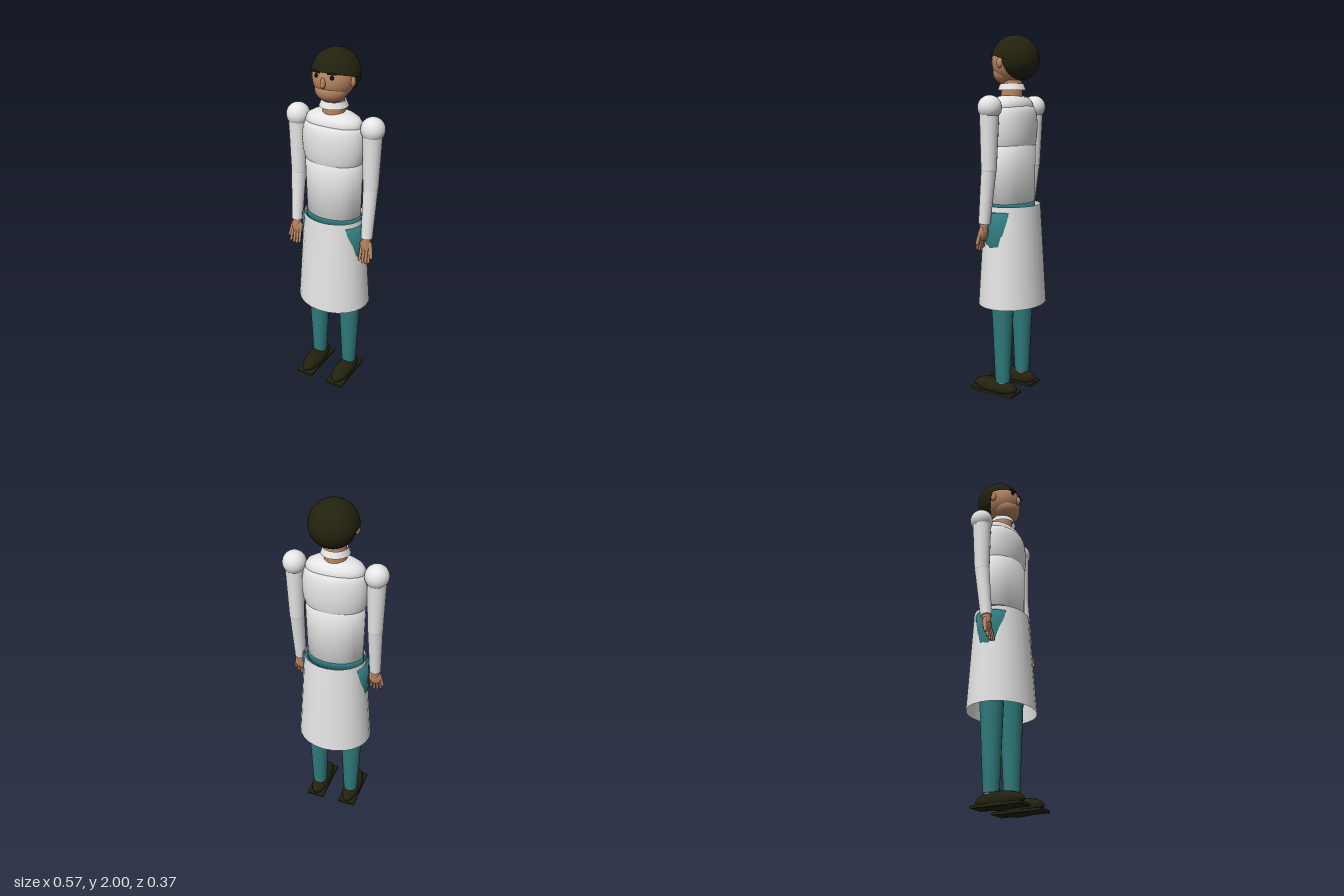
import * as THREE from 'three';

const mat = (name, color, side = THREE.FrontSide) => {
  const m = new THREE.MeshStandardMaterial({ color, side });
  m.name = name;
  return m;
};

export function createModel() {
  const white = mat('white cloth', 0xe6e6e6, THREE.DoubleSide);
  const teal = mat('teal cloth', 0x2f7a7c);
  const dark = mat('dark brown', 0x23220f);
  const skin = mat('skin', 0xb98562);
  const black = mat('eye black', 0x14120f);

  const root = new THREE.Group();
  root.name = 'workerFigure';

  const add = (name, geo, material, pos = [0, 0, 0], parent = root) => {
    const mesh = new THREE.Mesh(geo, material);
    mesh.name = name;
    mesh.position.set(...pos);
    parent.add(mesh);
    return mesh;
  };
  const ball = (name, material, pos, r, parent) =>
    add(name, new THREE.SphereGeometry(1, 32, 20).scale(...r), material, pos, parent);
  // Tapered round limb between two points
  const limb = (name, material, a, b, ra, rb, parent) => {
    const va = new THREE.Vector3(...a), vb = new THREE.Vector3(...b);
    const dir = vb.clone().sub(va);
    const mesh = add(name, new THREE.CylinderGeometry(rb, ra, dir.length(), 20), material,
      va.clone().add(vb).multiplyScalar(0.5).toArray(), parent);
    mesh.quaternion.setFromUnitVectors(new THREE.Vector3(0, 1, 0), dir.normalize());
    return mesh;
  };
  // Oval lathe from [radius, height] pairs
  const oval = (name, material, pts, depth, z = 0) =>
    add(name, new THREE.LatheGeometry(pts.map(p => new THREE.Vector2(...p)), 32).scale(1, 1, depth),
      material, [0, 0, z]);

  // Torso
  oval('abdomen', white, [[0, 1.1], [0.158, 1.1], [0.165, 1.415], [0, 1.415]], 0.71);
  oval('chest', white, [[0.164, 1.412], [0.174, 1.44], [0.179, 1.48], [0.181, 1.52], [0.178, 1.56],
    [0.171, 1.59], [0.16, 1.615], [0.14, 1.625], [0, 1.625]], 0.68);
  oval('shoulderYoke', white, [[0.158, 1.6], [0.162, 1.62], [0.158, 1.637], [0.145, 1.655],
    [0.115, 1.672], [0.08, 1.68], [0, 1.683]], 0.6);
  oval('waistband', teal, [[0, 1.05], [0.161, 1.05], [0.161, 1.102], [0, 1.102]], 0.71);
  oval('hips', teal, [[0, 0.76], [0.17, 0.76], [0.191, 0.88], [0.191, 1.06], [0, 1.06]], 0.69);

  // Open apron skirt
  add('apronSkirt', new THREE.CylinderGeometry(0.174, 0.213, 0.56, 24, 1, true).scale(1, 1, 0.85),
    white, [0, 0.81, -0.005]);

  // Neck and collar
  add('neck', new THREE.CylinderGeometry(0.055, 0.06, 0.12, 24), skin, [0, 1.72, 0]);
  add('collar', new THREE.CylinderGeometry(0.064, 0.077, 0.034, 28, 1, true), white, [0, 1.726, 0]);

  // Head
  const head = new THREE.Group();
  head.name = 'head';
  root.add(head);
  ball('skull', skin, [0, 1.86, 0], [0.112, 0.115, 0.108], head);
  ball('jaw', skin, [0, 1.802, 0.026], [0.088, 0.067, 0.078], head);
  ball('nose', skin, [0, 1.853, 0.109], [0.013, 0.028, 0.016], head);
  ball('noseTip', skin, [0, 1.843, 0.115], [0.012, 0.012, 0.012], head);
  const cap = add('hairCap', new THREE.SphereGeometry(0.129, 36, 18, 0, Math.PI * 2, 0, Math.PI / 2),
    mat('hair', 0x23220f, THREE.DoubleSide), [0, 1.871, -0.023], head);
  cap.rotation.x = -0.25;
  ball('backHair', dark, [0, 1.868, -0.045], [0.119, 0.108, 0.107], head);

  for (const s of [-1, 1]) {
    const side = s > 0 ? 'left' : 'right';
    // Face details
    ball(side + 'Eye', black, [s * 0.044, 1.883, 0.096], [0.011, 0.011, 0.009], head);
    const brow = add(side + 'Brow', new THREE.BoxGeometry(0.046, 0.008, 0.009), dark, [s * 0.044, 1.903, 0.098], head);
    brow.rotation.y = s * 0.2;
    ball(side + 'Ear', skin, [s * 0.112, 1.85, 0.005], [0.013, 0.027, 0.017], head);

    // Arm
    const arm = new THREE.Group();
    arm.name = side + 'Arm';
    root.add(arm);
    const x = s * 0.222;
    ball('shoulder', white, [x, 1.618, -0.007], [0.064, 0.064, 0.064], arm);
    limb('upperArm', white, [x, 1.618, -0.005], [x, 1.3, 0], 0.053, 0.042, arm);
    ball('elbow', white, [x, 1.3, 0], [0.042, 0.042, 0.042], arm);
    limb('forearm', white, [x, 1.3, 0], [x, 1.005, 0.031], 0.041, 0.032, arm);

    // Hand
    limb('wrist', skin, [x, 1.02, 0.03], [x, 0.96, 0.036], 0.024, 0.023, arm);
    ball('palm', skin, [x, 0.955, 0.036], [0.037, 0.045, 0.018], arm);
    for (let i = 0; i < 4; i++) {
      const fx = x + (i - 1.5) * 0.0165;
      const tip = [fx + (i - 1.5) * 0.002, i % 3 ? 0.862 : 0.872, 0.06];
      limb('finger', skin, [fx, 0.945, 0.04], tip, 0.009, 0.0075, arm);
      ball('fingertip', skin, tip, [0.0075, 0.0075, 0.0075], arm);
    }
    const thumbTip = [x + s * 0.04, 0.9, 0.052];
    limb('thumb', skin, [x + s * 0.026, 0.965, 0.038], thumbTip, 0.011, 0.009, arm);
    ball('thumbTip', skin, thumbTip, [0.009, 0.009, 0.009], arm);

    // Leg and shoe
    const leg = new THREE.Group();
    leg.name = side + 'Leg';
    root.add(leg);
    const lx = s * 0.102;
    limb('trouserLeg', teal, [lx, 0.085, -0.005], [lx, 0.86, -0.005], 0.042, 0.078, leg);
    limb('ankle', skin, [lx, 0.04, -0.005], [lx, 0.09, -0.005], 0.036, 0.036, leg);
    ball('shoe', dark, [lx, 0.047, 0.044], [0.053, 0.047, 0.138], leg);
    add('sole', new THREE.BoxGeometry(0.105, 0.014, 0.282), dark, [lx, 0.021, 0.046], leg);
  }
  return root;
}
